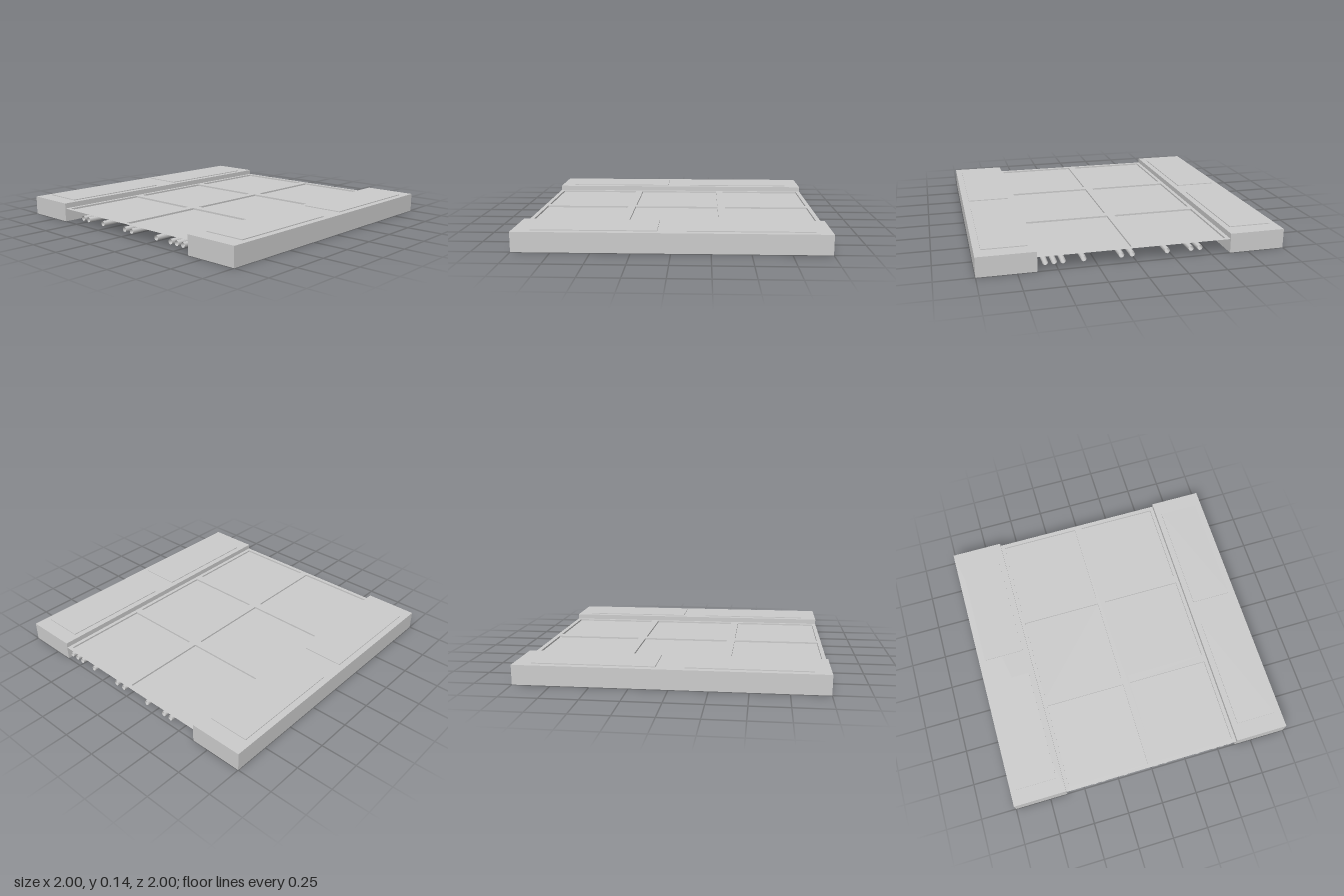
import * as THREE from 'three';

const material = new THREE.MeshStandardMaterial({ color: 0xcccccc, side: THREE.DoubleSide });

function add(parent, name, geometry, x = 0, y = 0, z = 0) {
  const mesh = new THREE.Mesh(geometry, material);
  mesh.name = name;
  mesh.position.set(x, y, z);
  parent.add(mesh);
  return mesh;
}

// Box with one face left out (2 = top, 3 = bottom)
function openBox(w, h, d, face) {
  const box = new THREE.BoxGeometry(w, h, d);
  const index = Array.from(box.index.array).filter((_, i) => Math.floor(i / 6) !== face);
  box.setIndex(index);
  box.clearGroups();
  return box;
}

export function createModel() {
  const model = new THREE.Group();
  model.name = 'floorSection';

  const kerbTop = 0.13, floorY = 0.094, inner = 0.628;

  // Hollow raised kerbs along front and back, each with two raised cover plates
  for (const side of [1, -1]) {
    const kerb = new THREE.Group();
    kerb.name = side > 0 ? 'frontKerb' : 'backKerb';
    add(kerb, 'kerbShell', openBox(2, kerbTop, 1 - inner, 3), 0, kerbTop / 2, side * (1 + inner) / 2);
    for (const x of [-0.49, 0.49]) {
      add(kerb, 'coverPlate', openBox(0.797, 0.006, 0.285, 3), x + side * 0.005, kerbTop + 0.003, side * 0.813);
    }
    model.add(kerb);
  }

  // Thin floor sheet with six shallow recessed panels
  const sheet = new THREE.Shape([
    new THREE.Vector2(-1, -inner), new THREE.Vector2(1, -inner),
    new THREE.Vector2(1, inner), new THREE.Vector2(-1, inner),
  ]);
  const z0 = 0.027, z1 = 0.602, depth = 0.012;
  for (const [x0, x1] of [[-0.972, -0.365], [-0.308, 0.306], [0.36, 0.97]]) {
    for (const side of [1, -1]) {
      const a = side > 0 ? z0 : -z1, b = side > 0 ? z1 : -z0;
      sheet.holes.push(new THREE.Path([
        new THREE.Vector2(x0, a), new THREE.Vector2(x0, b),
        new THREE.Vector2(x1, b), new THREE.Vector2(x1, a),
      ]));
      add(model, 'recessedPanel', openBox(x1 - x0, depth, b - a, 2),
        (x0 + x1) / 2, floorY - depth / 2, (a + b) / 2);
    }
  }
  add(model, 'floorSheet', new THREE.ShapeGeometry(sheet).rotateX(-Math.PI / 2), 0, floorY, 0);

  // Open-ended pipes running underneath the floor
  const pipe = new THREE.CylinderGeometry(0.018, 0.018, 1.99, 8, 1, true).rotateZ(Math.PI / 2);
  for (const z of [-0.42, -0.36, -0.2, 0.03, 0.1, 0.34, 0.47, 0.525, 0.58]) {
    add(model, 'pipe', pipe, 0, 0.054, z);
  }

  return model;
}
